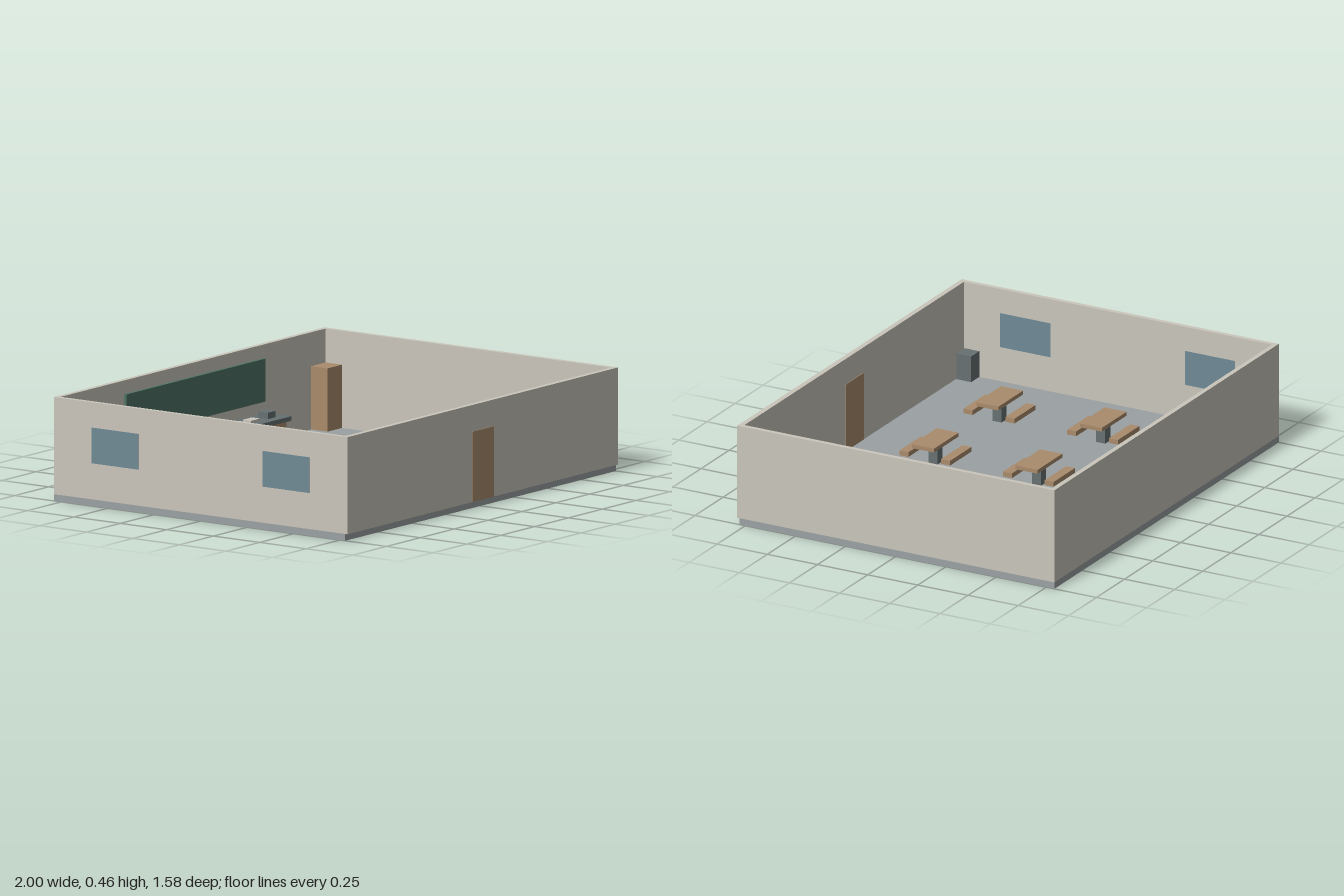
import * as THREE from 'three';

const material = (name, color) => {
  const m = new THREE.MeshStandardMaterial({ color });
  m.name = name;
  return m;
};

export function createModel() {
  const plaster = material('plaster', 0xcac6bb);
  const floorGrey = material('floorGrey', 0x9ba1a3);
  const wood = material('wood', 0xa98c6c);
  const darkGrey = material('darkGrey', 0x677172);
  const boardGreen = material('boardGreen', 0x4f7466);
  const glass = material('glass', 0x6f8a95);

  const model = new THREE.Group();
  model.name = 'diningHall';

  // Axis-aligned box from its lower and upper limits
  const box = (name, mat, [x0, x1], [y0, y1], [z0, z1], parent = model) => {
    const mesh = new THREE.Mesh(new THREE.BoxGeometry(x1 - x0, y1 - y0, z1 - z0), mat);
    mesh.position.set((x0 + x1) / 2, (y0 + y1) / 2, (z0 + z1) / 2);
    mesh.name = name;
    parent.add(mesh);
    return mesh;
  };
  const around = (centre, size) => [centre - size / 2, centre + size / 2];

  // Floor slab and walls; the front wall overhangs the slab slightly
  const wallY = [0.03, 0.46];
  box('floor', floorGrey, [-1, 1], [0, 0.03], [-0.79, 0.778]);
  box('backWall', plaster, [-1, 1], wallY, [-0.79, -0.768]);
  box('frontWall', plaster, [-1, 1], wallY, [0.766, 0.79]);
  box('rightWall', plaster, [-1, -0.978], wallY, [-0.768, 0.766]);
  box('leftWall', plaster, [0.978, 1], wallY, [-0.768, 0.766]);

  // Door, seen on both faces of the front wall
  box('door', wood, [-0.08, 0.08], [0.031, 0.342], [0.763, 0.793]);

  // Windows through the right wall
  for (const z of [-0.46, 0.46]) {
    box('window', glass, [-1.002, -0.976], [0.19, 0.348], around(z, 0.25));
  }

  // Menu board on the back wall
  box('menuBoard', boardGreen, [-0.513, 0.513], [0.21, 0.4], [-0.768, -0.754]);

  // Serving counter with trays and a till
  const counter = new THREE.Group();
  counter.name = 'servingCounter';
  model.add(counter);
  box('counterBase', wood, [-0.375, 0.375], [0.03, 0.17], [-0.65, -0.54], counter);
  box('counterTop', darkGrey, [-0.395, 0.392], [0.17, 0.19], [-0.665, -0.525], counter);
  for (let i = 0; i < 6; i++) {
    box('foodTray', plaster, around(-0.307 + i * 0.1, 0.067), [0.19, 0.2], around(-0.595, 0.045), counter);
  }
  box('till', darkGrey, around(0.306, 0.055), [0.19, 0.218], around(-0.595, 0.055), counter);

  // Cabinets in the back corners, bins in the front corners
  for (const side of [-1, 1]) {
    box('cabinet', wood, around(side * 0.924, 0.108), [0.03, 0.31], [-0.768, -0.68]);
    box('bin', darkGrey, around(side * 0.942, 0.072), [0.03, 0.15], [0.69, 0.763]);
  }

  // Tables, each on a pedestal with a bench on either side
  for (const z of [-0.154, 0.362]) {
    for (const x of [-0.573, 0, 0.57]) {
      const table = new THREE.Group();
      table.name = 'tableSet';
      table.position.set(x, 0, z);
      model.add(table);
      box('tableTop', wood, around(0, 0.22), [0.122, 0.14], around(0, 0.11), table);
      box('pedestal', darkGrey, around(0, 0.045), [0.03, 0.122], around(0, 0.045), table);
      for (const side of [-1, 1]) {
        box('bench', wood, around(0, 0.19), [0.07, 0.092], around(side * 0.104, 0.045), table);
      }
    }
  }

  return model;
}
